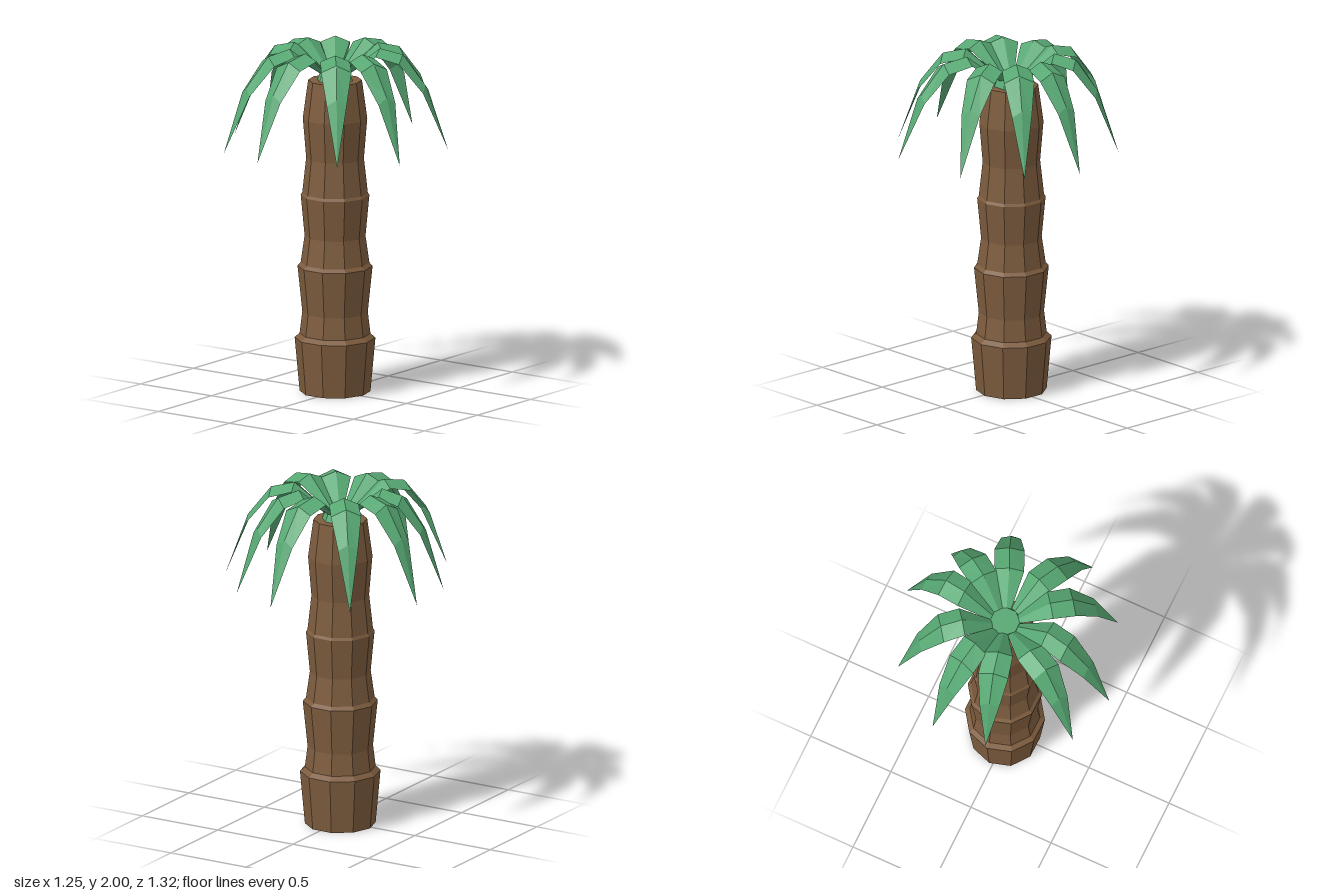
import * as THREE from 'three';

const BARK = new THREE.MeshStandardMaterial({ color: 0x7d5c3e, flatShading: true });
const LEAF = new THREE.MeshStandardMaterial({ color: 0x57a873, flatShading: true, side: THREE.DoubleSide });

// Tip of every frond (x, z), counter-clockwise seen from above, starting at +x
const TIPS = [
  [0.6, -0.26], [0.355, -0.53], [0.05, -0.66], [-0.385, -0.51], [-0.625, -0.18],
  [-0.605, 0.14], [-0.36, 0.57], [-0.06, 0.655], [0.385, 0.5], [0.625, 0.23],
];

// Cross-sections: fraction of frond length, half width, ridge height, edge height, bend
const SECTIONS = [
  [0.12, 0.026, 1.85, 1.84, 0],
  [0.40, 0.083, 2.0, 1.965, 0.5],
  [0.60, 0.086, 1.97, 1.93, 1],
  [0.80, 0.056, 1.8, 1.765, 1],
];

// Folded leaf: two strips either side of a raised ridge, closing in a point
function frondGeometry(length, rootAngle, tipAngle) {
  const pos = [], index = [];
  const add = (r, side, y, a) =>
    pos.push(Math.cos(a) * r - Math.sin(a) * side, y, -Math.sin(a) * r - Math.cos(a) * side);
  for (const [t, w, ridge, edge, bend] of SECTIONS) {
    const a = rootAngle + (tipAngle - rootAngle) * bend;
    add(t * length, -w, edge, a);
    add(t * length, 0, ridge, a);
    add(t * length, w, edge, a);
  }
  add(length, 0, 1.435, tipAngle);
  const last = SECTIONS.length - 1, tip = 3 * (last + 1);
  for (let i = 0; i < last; i++) {
    for (let j = 0; j < 2; j++) {
      const p = i * 3 + j;
      index.push(p, p + 3, p + 4, p, p + 4, p + 1);
    }
  }
  index.push(last * 3, tip, last * 3 + 1, last * 3 + 1, tip, last * 3 + 2);
  const g = new THREE.BufferGeometry();
  g.setAttribute('position', new THREE.Float32BufferAttribute(pos, 3));
  g.setIndex(index);
  g.computeVertexNormals();
  return g;
}

export function createModel() {
  const palm = new THREE.Group();
  palm.name = 'palmTree';
  const cx = -0.015, cz = -0.017;

  // Ten-sided trunk with stepped, tapering rings
  const profile = [
    [0, 0], [0.2, 0], [0.228, 0.31], [0.2, 0.335], [0.185, 0.46],
    [0.212, 0.725], [0.194, 0.745], [0.172, 0.9], [0.194, 1.135], [0.185, 1.15],
    [0.163, 1.35], [0.182, 1.58], [0.152, 1.8], [0, 1.8],
  ].map(([r, y]) => new THREE.Vector2(r, y));
  const trunk = new THREE.Mesh(new THREE.LatheGeometry(profile, 10, THREE.MathUtils.degToRad(17)), BARK);
  trunk.name = 'trunk';
  trunk.position.set(cx, 0, cz);
  palm.add(trunk);

  // Small green heart the fronds grow from
  const heart = new THREE.Mesh(new THREE.CylinderGeometry(0.085, 0.105, 0.05, 8), LEAF);
  heart.name = 'crownHeart';
  heart.position.set(cx, 1.82, cz);
  heart.rotation.y = Math.PI / 8;
  palm.add(heart);

  // Crown: evenly rooted fronds, each bending towards its own tip
  const crown = new THREE.Group();
  crown.name = 'crown';
  crown.position.set(cx, 0, cz);
  TIPS.forEach(([x, z], i) => {
    const dx = x - cx, dz = z - cz;
    const root = (0.1 + i * 0.2) * Math.PI;
    let angle = Math.atan2(-dz, dx);
    if (angle < 0) angle += 2 * Math.PI;
    const frond = new THREE.Mesh(frondGeometry(Math.hypot(dx, dz), root, angle), LEAF);
    frond.name = `frond${i + 1}`;
    crown.add(frond);
  });
  palm.add(crown);
  return palm;
}
